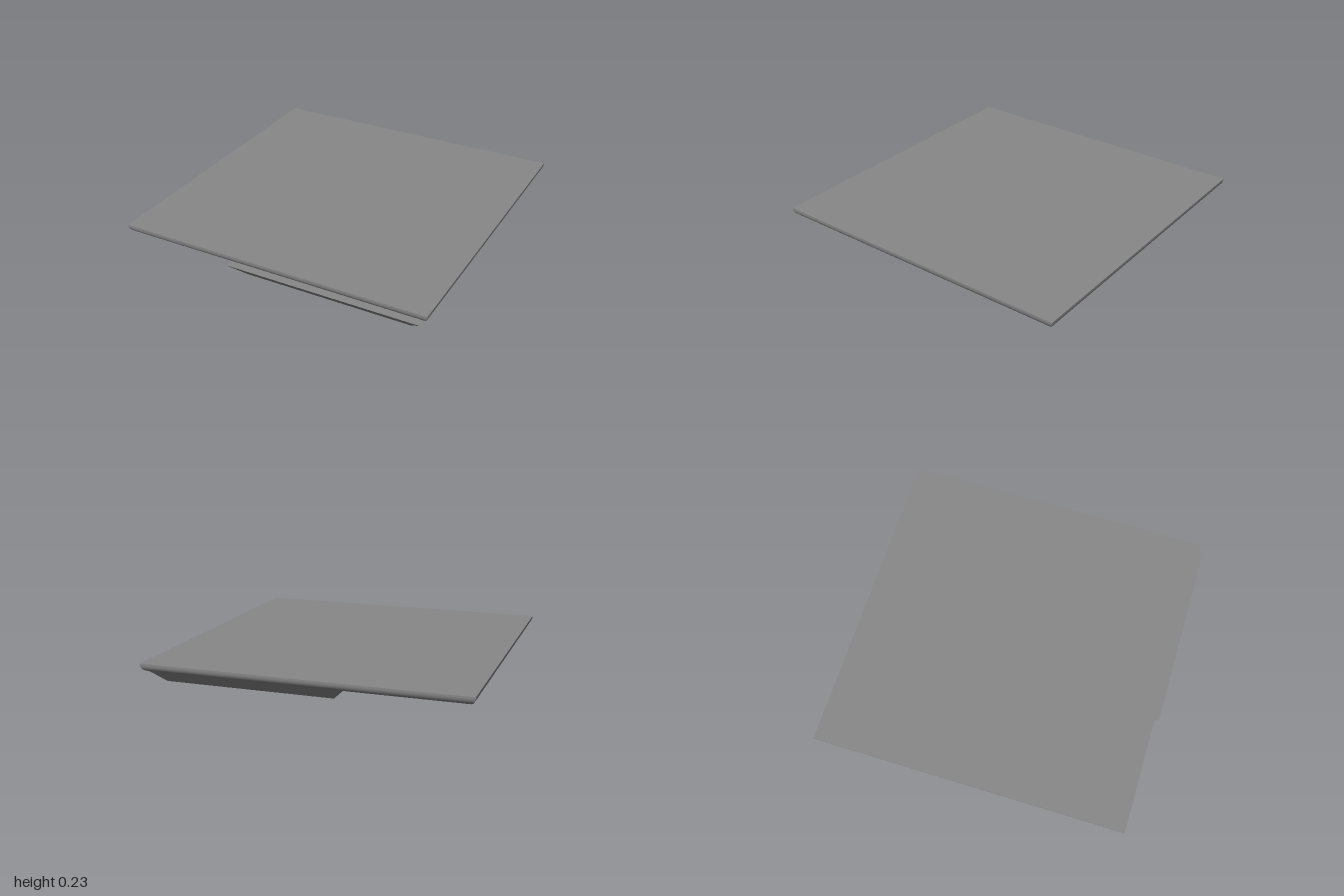
import * as THREE from 'three';
import { toCreasedNormals } from 'three/addons/utils/BufferGeometryUtils.js';

const material = new THREE.MeshStandardMaterial({ color: 0x888888 });
const socketCentres = [[0.357, -0.34], [0.357, 0.345]];
const blockBottom = 0.101;

function addPart(group, name, geometry) {
  const mesh = new THREE.Mesh(toCreasedNormals(geometry, 0.6), material);
  mesh.name = name;
  group.add(mesh);
  return mesh;
}

// Solid through rectangular rings [x0, x1, z0, z1, y], listed bottom to top
function rectLoft(rings, closeBottom) {
  const pos = [];
  const corners = ([x0, x1, z0, z1, y]) => [[x0, y, z1], [x1, y, z1], [x1, y, z0], [x0, y, z0]];
  const quad = (a, b, c, d) => pos.push(...a, ...b, ...c, ...a, ...c, ...d);
  for (let i = 0; i < rings.length - 1; i++) {
    const lo = corners(rings[i]), hi = corners(rings[i + 1]);
    for (let k = 0; k < 4; k++) quad(lo[k], lo[(k + 1) % 4], hi[(k + 1) % 4], hi[k]);
  }
  if (closeBottom) quad(...corners(rings[0]).reverse());
  quad(...corners(rings[rings.length - 1]));
  const geometry = new THREE.BufferGeometry();
  geometry.setAttribute('position', new THREE.Float32BufferAttribute(pos, 3));
  geometry.computeVertexNormals();
  return geometry;
}

// Socket outline around (cx, cz): flat ends and bowed sides
function traceSocket(path, cx, cz) {
  const halfFlat = 0.162, halfLength = 0.233, radius = 0.304, offset = 0.033;
  const angle = Math.atan2(halfLength, halfFlat + offset);
  path.absarc(cx - offset, cz, radius, -angle, angle, false);
  path.absarc(cx + offset, cz, radius, Math.PI - angle, Math.PI + angle, false);
  path.closePath();
  return path;
}

// Socket face with two slots and a D-shaped ground hole, set deep into the block
function socketGeometry() {
  const shape = traceSocket(new THREE.Shape(), 0, 0);
  for (const x of [-0.11, 0.11]) {
    const slot = new THREE.Path();
    slot.moveTo(x - 0.011, 0.006);
    slot.lineTo(x - 0.011, 0.152);
    slot.lineTo(x + 0.011, 0.152);
    slot.lineTo(x + 0.011, 0.006);
    slot.closePath();
    shape.holes.push(slot);
  }
  const ground = new THREE.Path();
  ground.moveTo(0.05, -0.095);
  ground.absarc(0, -0.135, 0.05, 0, Math.PI, true);
  ground.lineTo(-0.05, -0.095);
  ground.closePath();
  shape.holes.push(ground);

  const geometry = new THREE.ExtrudeGeometry(shape, { depth: 0.07, bevelEnabled: false, curveSegments: 20 });
  return geometry.rotateX(Math.PI / 2);
}

// Underside of the block, open where the sockets sit
function undersideGeometry(x0, x1, z0, z1) {
  const shape = new THREE.Shape([[x0, z0], [x1, z0], [x1, z1], [x0, z1]].map(([x, z]) => new THREE.Vector2(x, z)));
  for (const [x, z] of socketCentres) shape.holes.push(traceSocket(new THREE.Path(), x, z));
  return new THREE.ShapeGeometry(shape, 20).rotateX(Math.PI / 2);
}

// Switch lever: round-nosed side profile in (z, y), extruded along x
function leverGeometry() {
  const width = 0.108;
  const shape = new THREE.Shape();
  shape.moveTo(0.008, 0.138);
  shape.lineTo(0.136, 0.009);
  shape.quadraticCurveTo(0.148, -0.002, 0.165, 0.001);
  shape.bezierCurveTo(0.2, 0.008, 0.225, 0.038, 0.225, 0.078);
  shape.lineTo(0.08, 0.138);
  shape.closePath();
  const geometry = new THREE.ExtrudeGeometry(shape, { depth: width, bevelEnabled: false, curveSegments: 8 });
  return geometry.rotateY(-Math.PI / 2).translate(width / 2, 0, 0);
}

export function createModel() {
  const group = new THREE.Group();
  group.name = 'wallPlate';

  // Thin plate with a quarter-round lower edge
  const rings = [];
  for (let i = 0; i <= 8; i++) {
    const a = (i / 8) * Math.PI / 2;
    const inset = 0.045 * (1 - Math.sin(a));
    rings.push([-0.987 + inset, 0.987 - inset, -1 + inset, 0.97 - inset, 0.221 - 0.045 * Math.cos(a)]);
  }
  rings.push([-0.987, 0.987, -1, 0.97, 0.228]);
  addPart(group, 'plate', rectLoft(rings, true));

  // Bevelled raised block that carries the sockets
  const bottom = [-0.17, 0.875, -0.887, 0.92];
  addPart(group, 'socketBlock', rectLoft([
    [...bottom, blockBottom],
    [-0.25, 0.955, -0.967, 1, 0.181],
  ], false));
  addPart(group, 'socketBlockUnderside', undersideGeometry(...bottom)).position.y = blockBottom;

  // Two sockets
  for (const [x, z] of socketCentres) {
    addPart(group, 'socketFace', socketGeometry()).position.set(x, 0.142, z);
  }

  // Switch surround
  const surround = addPart(group, 'switchSurround', new THREE.BoxGeometry(0.17, 0.025, 0.375));
  surround.position.set(-0.385, 0.1735, -0.018);

  // Levers
  for (const x of [-0.384, 0.383]) {
    addPart(group, 'switchLever', leverGeometry()).position.x = x;
  }
  return group;
}
